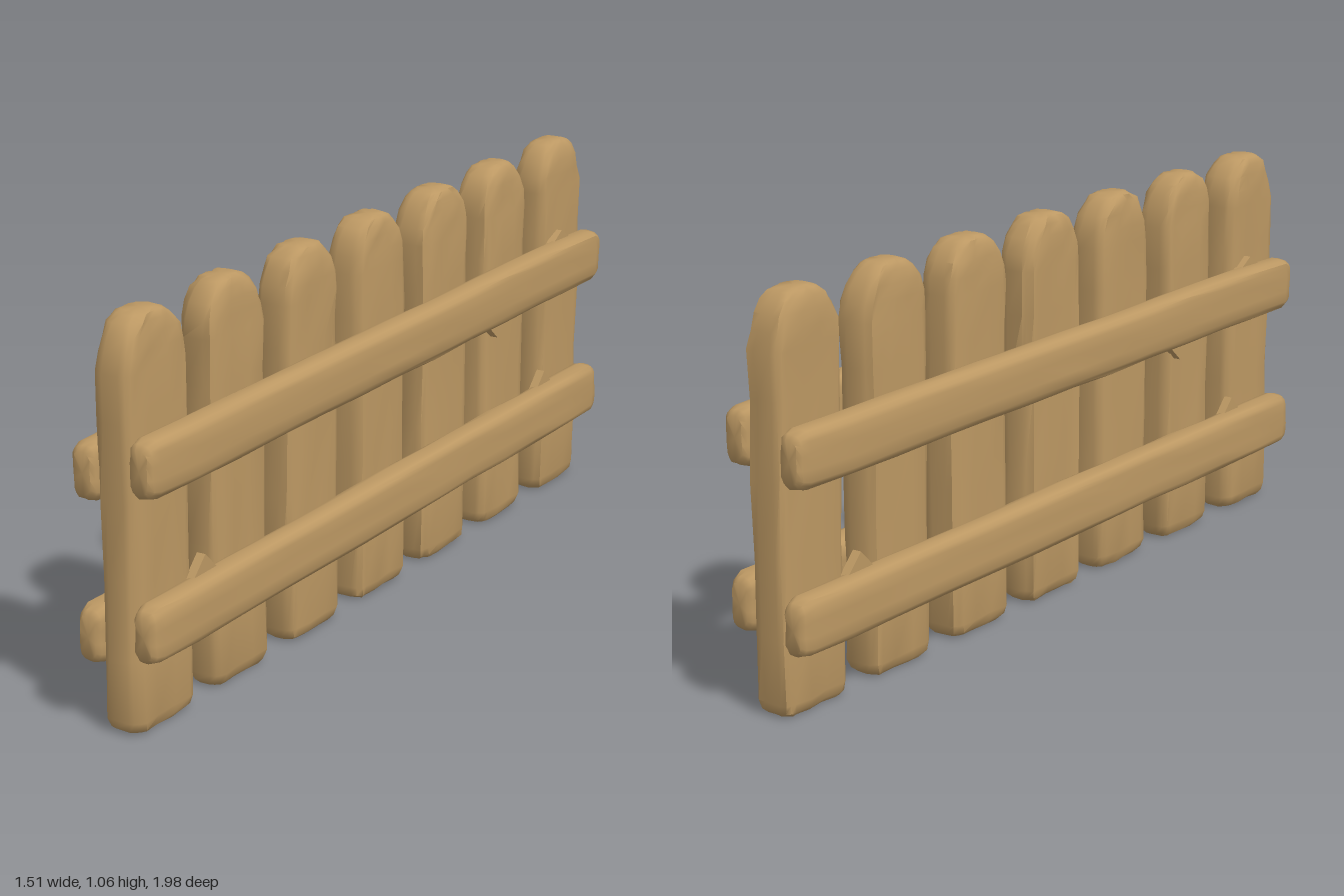
import * as THREE from 'three';
import { toCreasedNormals } from 'three/addons/utils/BufferGeometryUtils.js';

// small seeded generator for hand-carved unevenness
function makeRandom(seed) {
  let s = seed;
  return () => {
    s = (s * 16807) % 2147483647;
    return s / 2147483647 - 0.5;
  };
}

// rounded rectangle outline in x/z, with extra points along the broad faces
function section(hw, ht, r) {
  const pts = [];
  const corners = [[1, 1, 0], [-1, 1, 1], [-1, -1, 2], [1, -1, 3]];
  for (const [sx, sz, q] of corners) {
    for (let k = 0; k <= 3; k++) {
      const a = (q + k / 3) * Math.PI / 2;
      pts.push([sx * (hw - r) + r * Math.cos(a), sz * (ht - r) + r * Math.sin(a)]);
    }
    if (q === 0 || q === 2) {
      for (const f of [0.4, -0.4]) pts.push([sx * f * (hw - r), sz * ht]);
    }
  }
  return pts;
}

// board lofted along y through stations [y, halfWidth, halfThickness]
function board(stations, radius, rough, seed) {
  const rnd = makeRandom(seed);
  const pos = [], index = [];
  const n = section(1, 1, 0.1).length;
  const grain = Array.from({ length: n }, () => rnd() * rough);
  for (const [y, hw, ht] of stations) {
    const r = Math.min(radius, hw * 0.8, ht * 0.8);
    const shift = rnd() * rough;
    section(hw, ht, r).forEach(([x, z], j) => {
      const d = grain[j] + rnd() * rough;
      pos.push(x + shift + Math.sign(x) * d * 0.5, y, z + Math.sign(z) * d);
    });
  }
  for (let i = 0; i < stations.length - 1; i++) {
    for (let j = 0; j < n; j++) {
      const a = i * n + j, b = i * n + (j + 1) % n;
      index.push(a, a + n, b, b, a + n, b + n);
    }
  }
  // end caps
  const last = (stations.length - 1) * n, c0 = pos.length / 3;
  pos.push(0, stations[0][0], 0, 0, stations[stations.length - 1][0], 0);
  for (let j = 0; j < n; j++) {
    const k = (j + 1) % n;
    index.push(c0, j, k, c0 + 1, last + k, last + j);
  }
  const geo = new THREE.BufferGeometry();
  geo.setAttribute('position', new THREE.Float32BufferAttribute(pos, 3));
  geo.setIndex(index);
  return toCreasedNormals(geo, 0.9);
}

export function createModel() {
  const wood = new THREE.MeshStandardMaterial({ color: 0xbc9863 });
  wood.name = 'wood';
  const model = new THREE.Group();
  model.name = 'fence';
  const fence = new THREE.Group();
  fence.name = 'fenceBody';
  fence.rotation.y = THREE.MathUtils.degToRad(54.3);
  model.add(fence);

  const add = (parent, geo, name, x = 0, y = 0, z = 0) => {
    const m = new THREE.Mesh(geo, wood);
    m.name = name;
    m.position.set(x, y, z);
    parent.add(m);
    return m;
  };

  // seven round-topped pickets
  const picket = [
    [0, 0.1, 0.04], [0.012, 0.113, 0.05], [0.035, 0.12, 0.055], [0.2, 0.119, 0.055],
    [0.4, 0.118, 0.054], [0.6, 0.119, 0.055], [0.8, 0.119, 0.055], [0.92, 0.12, 0.055],
    [0.965, 0.115, 0.054], [1.005, 0.101, 0.052], [1.035, 0.08, 0.048],
    [1.052, 0.058, 0.041], [1.058, 0.042, 0.03]
  ];
  for (let i = 0; i < 7; i++) {
    add(fence, board(picket, 0.03, 0.007, 311 + i * 977), 'picket' + (i + 1), (i - 3) * 0.338);
  }

  // rail stations: rounded ends and a lightly uneven run
  const rail = [[-1.143, 0.055, 0.022], [-1.132, 0.068, 0.032], [-1.105, 0.075, 0.037]];
  for (let i = -5; i <= 5; i++) rail.push([i * 0.19, 0.076, 0.038]);
  rail.push([1.105, 0.075, 0.037], [1.132, 0.068, 0.032], [1.143, 0.055, 0.022]);

  // chipped splinters as thin wedges: [x, y, halfWidth, height]
  const splinters = [
    [-0.87, 0.34, 0.06, 0.06], [0.88, 0.34, 0.05, 0.05],
    [0.59, 0.63, 0.07, -0.06], [0.97, 0.765, 0.06, 0.035]
  ];

  // a pair of rails on each face, the rear pair turned around and set lower
  for (const side of ['front', 'back']) {
    const pair = new THREE.Group();
    pair.name = side + 'Rails';
    if (side === 'back') {
      pair.rotation.y = Math.PI;
      pair.position.y = -0.033;
    }
    [['Lower', 0.276], ['Upper', 0.697]].forEach(([label, y], i) => {
      const geo = board(rail, 0.025, 0.004, 5003 + i * 733);
      geo.rotateZ(-Math.PI / 2);
      add(pair, geo, side + label + 'Rail', 0, y, 0.083);
    });
    for (const [x, y, w, h] of splinters) {
      const tri = new THREE.Shape([
        new THREE.Vector2(-w, 0), new THREE.Vector2(w, 0), new THREE.Vector2(0, h)
      ]);
      const geo = new THREE.ExtrudeGeometry(tri, { depth: 0.025, bevelEnabled: false });
      add(pair, geo, side + 'Splinter', x, y, 0.05);
    }
    fence.add(pair);
  }
  return model;
}
